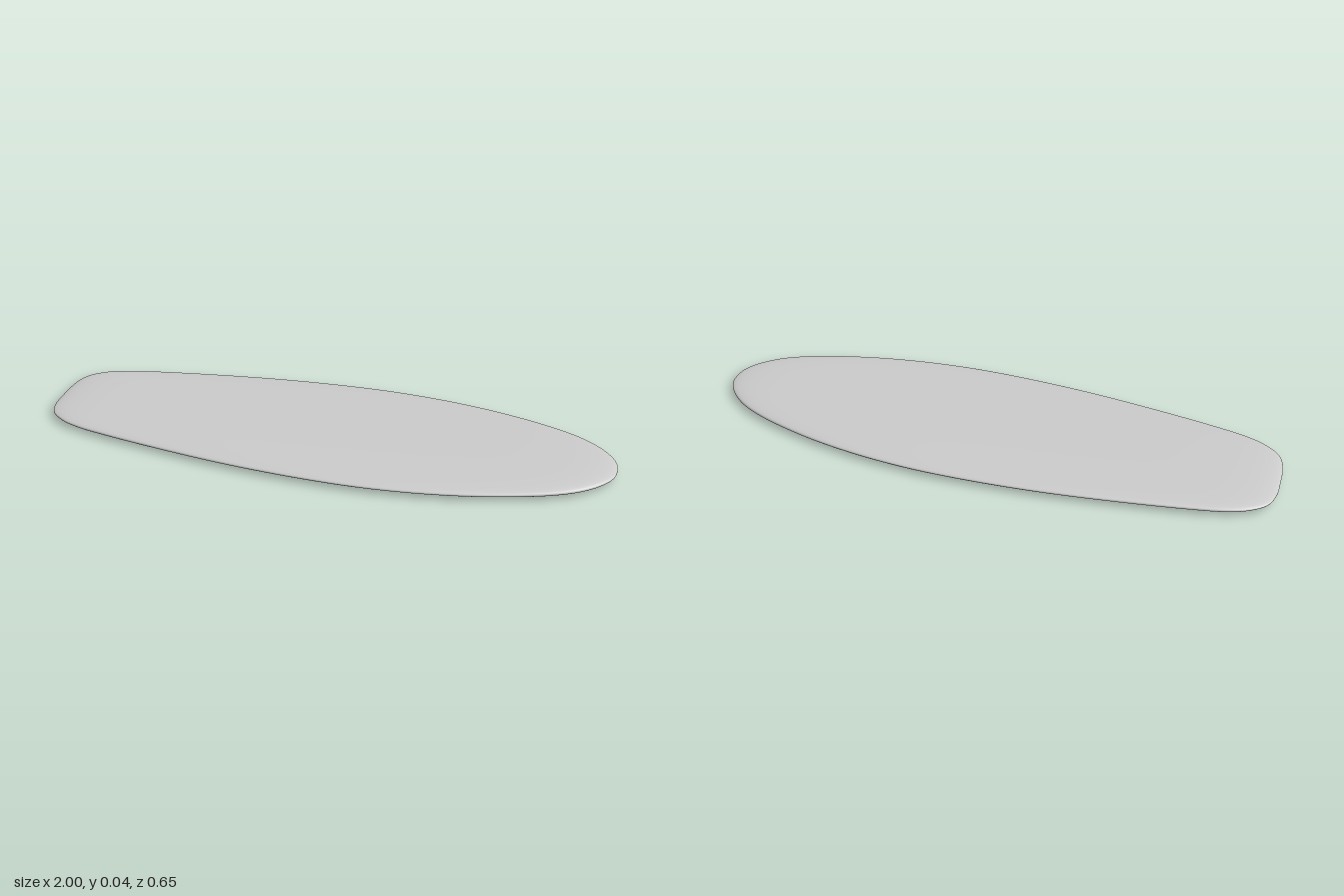
import * as THREE from 'three';
import { mergeVertices } from 'three/addons/utils/BufferGeometryUtils.js';

// Half outline seen from above: [x, half width], tail to nose
const OUTLINE = [
  [-1, 0], [-0.997, 0.08], [-0.975, 0.142], [-0.92, 0.187], [-0.85, 0.215], [-0.75, 0.237],
  [-0.5, 0.278], [-0.25, 0.309], [0, 0.325], [0.2, 0.325], [0.4, 0.307], [0.6, 0.269],
  [0.8, 0.206], [0.9, 0.153], [0.965, 0.092], [0.992, 0.045], [1, 0],
];
const MID_Y = 0.022, HALF_THICKNESS = 0.0205;
const STATIONS = 160, SIDES = 64;

const roundPow = (v, p) => Math.sign(v) * Math.abs(v) ** p;

// Loft of lens-shaped sections that thin out towards both ends
function boardGeometry() {
  const curve = new THREE.CatmullRomCurve3(OUTLINE.map(([x, w]) => new THREE.Vector3(x, w, 0)));
  const stations = curve.getPoints(STATIONS);
  const positions = [], indices = [];
  stations.forEach((p, i) => {
    const x = THREE.MathUtils.clamp(p.x, -1, 1);
    const w = i === 0 || i === STATIONS ? 0 : Math.max(p.y, 0);
    const t = HALF_THICKNESS * Math.sqrt(1 - Math.abs(x) ** 10);
    for (let j = 0; j < SIDES; j++) {
      const a = (j / SIDES) * Math.PI * 2;
      positions.push(x, MID_Y + t * roundPow(Math.sin(a), 0.8), w * roundPow(Math.cos(a), 0.8));
      if (i === STATIONS) continue;
      const k = (j + 1) % SIDES;
      const a0 = i * SIDES + j, a1 = i * SIDES + k, b0 = a0 + SIDES, b1 = a1 + SIDES;
      indices.push(a0, b0, a1, b0, b1, a1);
    }
  });
  let geometry = new THREE.BufferGeometry();
  geometry.setAttribute('position', new THREE.Float32BufferAttribute(positions, 3));
  geometry.setIndex(indices);
  geometry = mergeVertices(geometry, 1e-5);
  geometry.computeVertexNormals();
  return geometry;
}

export function createModel() {
  const group = new THREE.Group();
  group.name = 'surfboard';
  const board = new THREE.Mesh(boardGeometry(), new THREE.MeshStandardMaterial({ color: 0xcccccc }));
  board.name = 'board';
  group.add(board);
  return group;
}
